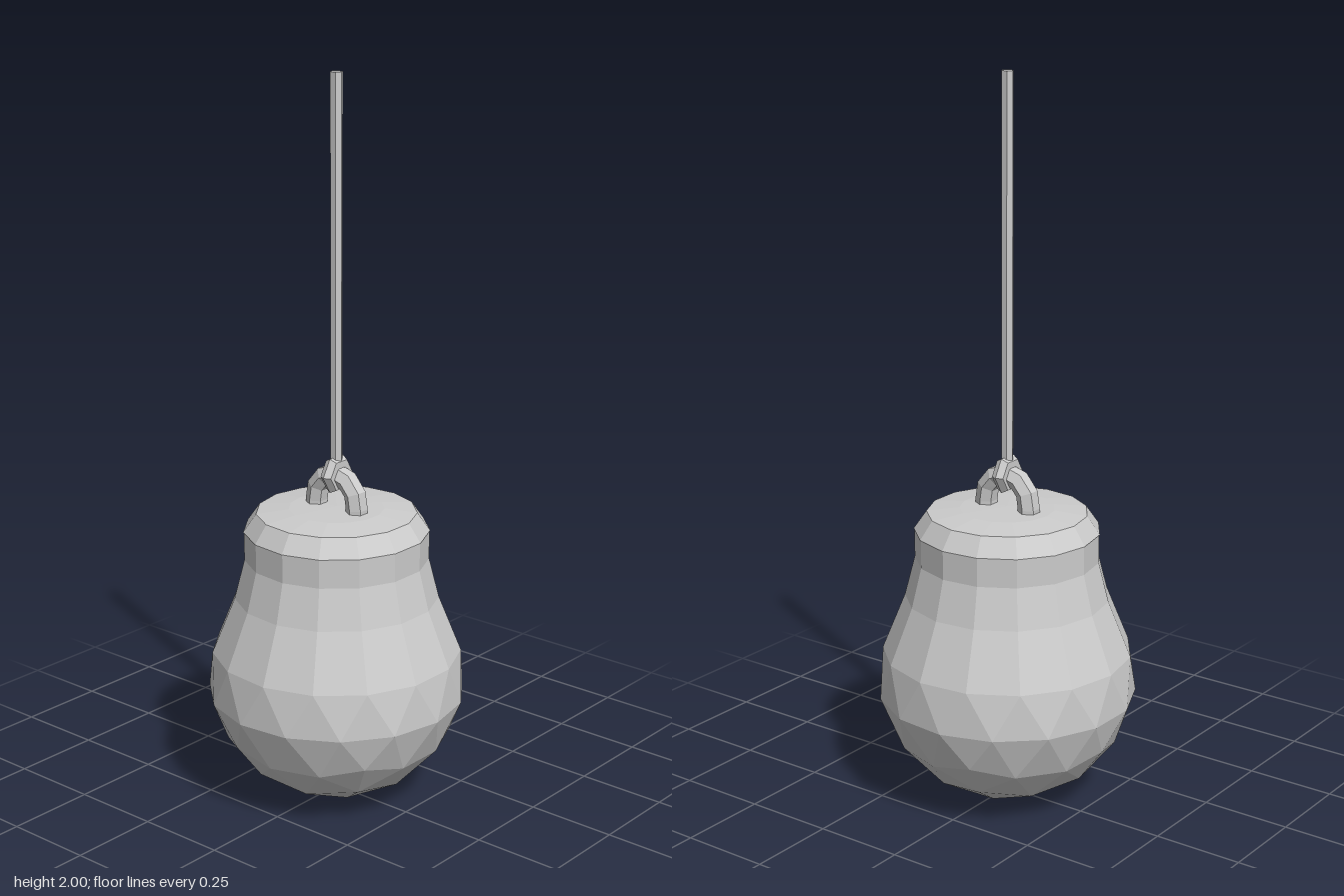
import * as THREE from 'three';

const STEP = (Math.PI * 2) / 15; // the body has fifteen sides
const START = Math.PI / 5;
const R = 0.355;

const material = new THREE.MeshStandardMaterial({ color: 0xcccccc, flatShading: true });

function addMesh(parent, name, geometry) {
  const mesh = new THREE.Mesh(geometry, material);
  mesh.name = name;
  parent.add(mesh);
  return mesh;
}

const polar = (r, y, a) => new THREE.Vector3(r * Math.cos(a), y, r * Math.sin(a));

// Fifteen points around the axis, turned by a number of steps
const ring = (r, y, turn) =>
  Array.from({ length: 15 }, (_, i) => polar(r, y, START + (i + turn) * STEP));

// Skin between two fifteen-point rings, lower one first
function band(out, low, high) {
  for (let i = 0; i < 15; i++) {
    const n = (i + 1) % 15;
    out.push(low[i], high[i], low[n], high[i], high[n], low[n]);
  }
}

function facets(points) {
  const geometry = new THREE.BufferGeometry().setFromPoints(points);
  geometry.computeVertexNormals();
  return geometry;
}

// Point on the geodesic bottom bowl: sector s, row k from the pole, place j in the row
function bowlPoint(s, k, j) {
  const pole = new THREE.Vector3(0, -1, 0);
  const corner = (n) => polar(0.8944, -0.4472, START + n * 3 * STEP);
  const a = corner(s), b = corner(s + 1);
  return pole.clone()
    .addScaledVector(a.clone().sub(pole), k / 3)
    .addScaledVector(b.sub(a), j / 3)
    .setLength(R)
    .add(new THREE.Vector3(0, R, 0));
}

function ballGeometry() {
  const out = [];
  const rim = [];
  for (let s = 0; s < 5; s++) {
    for (let k = 0; k < 3; k++) {
      for (let j = 0; j <= k; j++) {
        out.push(bowlPoint(s, k, j), bowlPoint(s, k + 1, j), bowlPoint(s, k + 1, j + 1));
        if (j < k) out.push(bowlPoint(s, k, j), bowlPoint(s, k + 1, j + 1), bowlPoint(s, k, j + 1));
      }
    }
    for (let j = 0; j < 3; j++) rim.push(bowlPoint(s, 3, j));
  }
  // Triangulated belly, then straight panels narrowing to the neck
  const rings = [
    rim,
    ring(0.355, 0.3, 0.5),
    ring(0.343, 0.425, 1),
    ring(0.28, 0.58, 1),
    ring(0.252, 0.69, 1),
    ring(0.252, 0.77, 1),
  ];
  for (let i = 0; i + 1 < rings.length; i++) band(out, rings[i], rings[i + 1]);
  return facets(out);
}

function capGeometry() {
  const out = [];
  const rings = [ring(0.254, 0.77, 1), ring(0.219, 0.82, 1), ring(0.13, 0.83, 1)];
  band(out, rings[0], rings[1]);
  band(out, rings[1], rings[2]);
  const centre = new THREE.Vector3(0, 0.833, 0);
  rings[2].forEach((p, i) => out.push(p, centre, rings[2][(i + 1) % 15]));
  return facets(out);
}

export function createModel() {
  const model = new THREE.Group();
  model.name = 'wreckingBall';

  addMesh(model, 'ball', ballGeometry());
  addMesh(model, 'cap', capGeometry());

  // Arched lifting eye with its feet sunk into the cap
  const path = [new THREE.Vector3(0.07, 0.8, 0)];
  for (let i = 0; i <= 6; i++) {
    const a = (i / 6) * Math.PI;
    path.push(new THREE.Vector3(0.07 * Math.cos(a), 0.855 + 0.068 * Math.sin(a), 0));
  }
  path.push(new THREE.Vector3(-0.07, 0.8, 0));
  const arch = new THREE.CatmullRomCurve3(path);
  addMesh(model, 'liftingEye', new THREE.TubeGeometry(arch, 8, 0.03, 6));

  // Cable shackle looped around the arch
  const shackle = addMesh(model, 'shackle', new THREE.TorusGeometry(0.034, 0.021, 6, 6));
  shackle.rotation.set(0, Math.PI / 2, 0);
  shackle.position.y = 0.925;

  // Hexagonal cable
  const cable = addMesh(model, 'cable', new THREE.CylinderGeometry(0.017, 0.017, 1.06, 6));
  cable.rotation.y = Math.PI / 2;
  cable.position.y = 1.47;

  return model;
}
